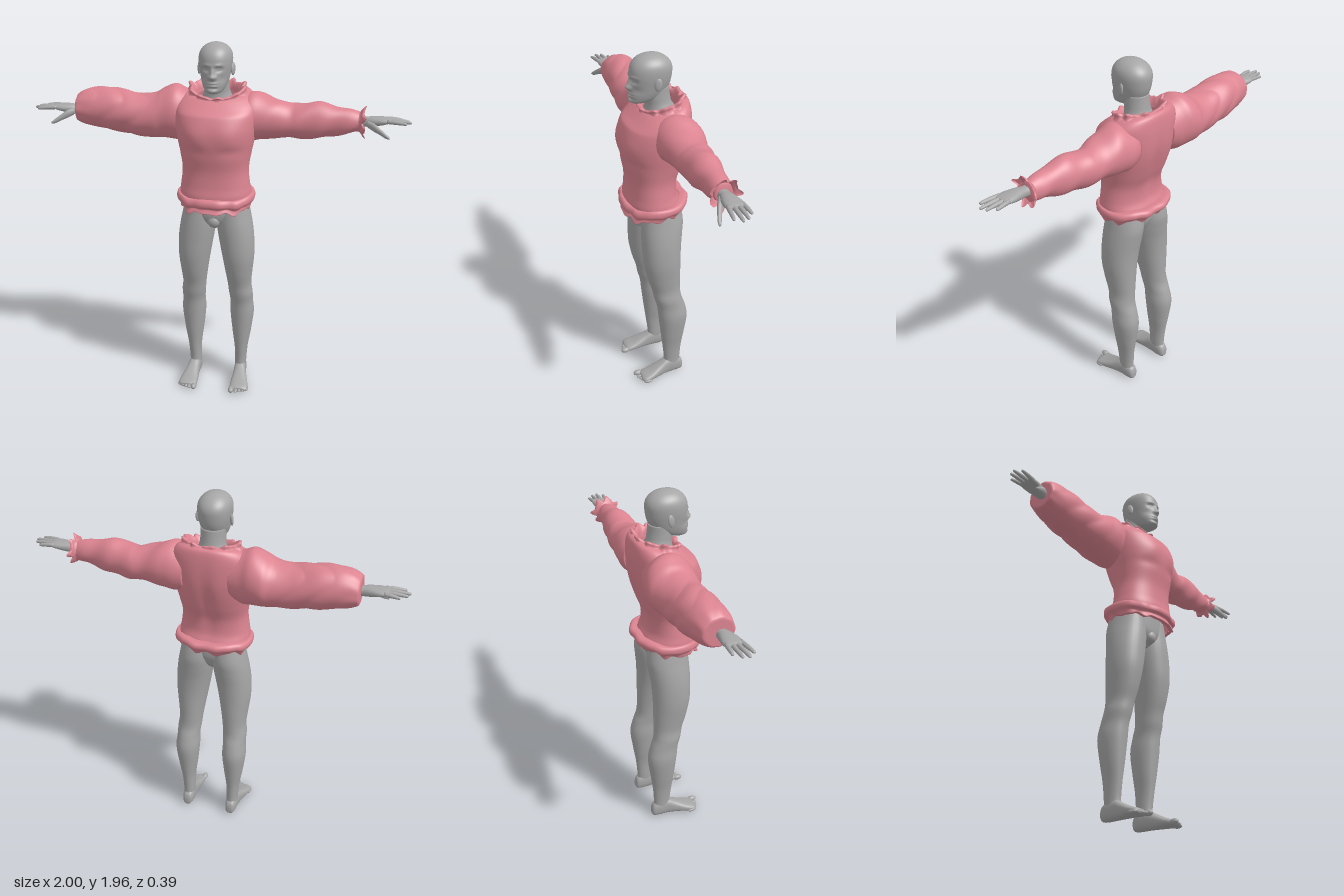
import * as THREE from 'three';

const skin = new THREE.MeshStandardMaterial({ color: 0xa6a6a6 });
skin.name = 'grey skin';
const cloth = new THREE.MeshStandardMaterial({ color: 0xdb8490, side: THREE.DoubleSide });
cloth.name = 'pink cloth';

const spline = (a, b, c, d, t) =>
  0.5 * (2 * b + (c - a) * t + (2 * a - 5 * b + 4 * c - d) * t * t + (3 * b - a - 3 * c + d) * t * t * t);
const gauss = (d, s) => Math.exp(-(d * d) / (s * s));

// Smooth skin over oval sections: row = [t, aMin, aMax, bMin, bMax], t along the axis.
// a, b are x, z for axis y; y, z for axis x; x, y for axis z. side -1 mirrors in x.
function loft(name, mat, axis, rows, { side = 1, n = 32, sub = 5, power = 2, cap = true, warp } = {}) {
  const pos = [], index = [], p = new THREE.Vector3();
  const flip = (axis !== 'y') !== (side < 0);
  const put = (t, a, b, ang) => {
    if (axis === 'y') p.set(a, t, b);
    else if (axis === 'x') p.set(t, a, b);
    else p.set(a, b, t);
    if (warp) warp(p, ang, t);
    pos.push(p.x * side, p.y, p.z);
  };
  const tri = (a, b, c) => (flip ? index.push(a, c, b) : index.push(a, b, c));
  const row = (i) => rows[Math.max(0, Math.min(rows.length - 1, i))];
  const m = (rows.length - 1) * sub;
  const mid = [];
  for (let k = 0; k <= m; k++) {
    const i = Math.min(Math.floor(k / sub), rows.length - 2), f = k / sub - i;
    const [t, a0, a1, b0, b1] = row(i).map((_, c) => spline(row(i - 1)[c], row(i)[c], row(i + 1)[c], row(i + 2)[c], f));
    mid.push([t, (a0 + a1) / 2, (b0 + b1) / 2]);
    for (let j = 0; j < n; j++) {
      const g = (j / n) * Math.PI * 2, c = Math.cos(g), s = Math.sin(g);
      const rc = Math.sign(c) * Math.abs(c) ** (2 / power), rs = Math.sign(s) * Math.abs(s) ** (2 / power);
      put(t, (a0 + a1) / 2 + rc * (a1 - a0) / 2, (b0 + b1) / 2 + rs * (b1 - b0) / 2, g);
    }
  }
  for (let k = 0; k < m; k++) for (let j = 0; j < n; j++) {
    const a = k * n + j, b = k * n + (j + 1) % n;
    tri(a, a + n, b);
    tri(b, a + n, b + n);
  }
  if (cap) for (const k of [0, m]) {
    const centre = pos.length / 3;
    put(...mid[k], 0);
    for (let j = 0; j < n; j++) {
      const a = k * n + j, b = k * n + (j + 1) % n;
      if (k) tri(centre, b, a); else tri(centre, a, b);
    }
  }
  const geo = new THREE.BufferGeometry();
  geo.setAttribute('position', new THREE.Float32BufferAttribute(pos, 3));
  geo.setIndex(index);
  geo.computeVertexNormals();
  const mesh = new THREE.Mesh(geo, mat);
  mesh.name = name;
  return mesh;
}

// Symmetric rows: [y, halfX, zMin, zMax]
const sym = (rows) => rows.map(([y, x, z0, z1]) => [y, -x, x, z0, z1]);

function ball(name, mat, [x, y, z], [rx, ry, rz]) {
  const mesh = new THREE.Mesh(new THREE.SphereGeometry(1, 20, 14), mat);
  mesh.name = name;
  mesh.position.set(x, y, z);
  mesh.scale.set(rx, ry, rz);
  return mesh;
}

function head() {
  const g = new THREE.Group();
  g.name = 'head';
  // Face relief: [x, y, depth, widthX, widthY]
  const relief = [
    [0, 1.8, 0.02, 0.014, 0.014], [0, 1.823, 0.012, 0.01, 0.022], [0.033, 1.838, -0.013, 0.018, 0.013],
    [0.032, 1.838, 0.006, 0.01, 0.006], [0.03, 1.858, 0.005, 0.025, 0.008], [0, 1.768, 0.006, 0.024, 0.006],
    [0, 1.756, 0.006, 0.02, 0.006], [0, 1.762, -0.005, 0.026, 0.003], [0, 1.743, -0.006, 0.03, 0.007],
    [0, 1.727, 0.005, 0.02, 0.009], [0.016, 1.798, 0.008, 0.008, 0.009], [0.05, 1.79, -0.006, 0.02, 0.02],
  ];
  const face = (p) => {
    if (p.z < 0.03) return;
    let d = 0;
    for (const [x, y, h, sx, sy] of relief) d += h * gauss(Math.abs(p.x) - x, sx) * gauss(p.y - y, sy);
    p.z += d * Math.min(1, (p.z - 0.03) / 0.05);
  };
  g.add(loft('skull', skin, 'y', sym([
    [1.712, 0.022, 0.07, 0.115], [1.722, 0.042, 0.02, 0.13], [1.74, 0.057, -0.03, 0.134], [1.77, 0.069, -0.06, 0.133],
    [1.81, 0.078, -0.08, 0.131], [1.85, 0.085, -0.088, 0.131], [1.89, 0.086, -0.089, 0.127], [1.92, 0.077, -0.075, 0.113],
    [1.943, 0.056, -0.048, 0.088], [1.956, 0.029, -0.016, 0.055], [1.96, 0.004, 0.012, 0.024],
  ]), { n: 96, sub: 9, power: 2.15, warp: face }));
  for (const s of [-1, 1]) {
    const ear = ball('ear', skin, [s * 0.088, 1.825, 0.012], [0.009, 0.033, 0.019]);
    ear.rotation.set(-0.15, s * -0.3, 0);
    g.add(ear);
  }
  g.add(loft('neck', skin, 'y', sym([
    [1.58, 0.18, -0.14, 0.07], [1.63, 0.14, -0.13, 0.06], [1.665, 0.088, -0.11, 0.05],
    [1.7, 0.069, -0.088, 0.048], [1.74, 0.065, -0.08, 0.055], [1.79, 0.064, -0.075, 0.05],
  ])));
  return g;
}

function leg(side) {
  const g = new THREE.Group();
  g.name = side > 0 ? 'leftLeg' : 'rightLeg';
  g.add(loft('leg', skin, 'y', [
    [0.05, 0.103, 0.165, -0.11, 0], [0.1, 0.1, 0.165, -0.105, -0.01], [0.2, 0.098, 0.173, -0.112, 0],
    [0.3, 0.085, 0.19, -0.126, 0.012], [0.42, 0.073, 0.205, -0.14, 0.025], [0.5, 0.074, 0.2, -0.125, 0.034],
    [0.56, 0.068, 0.2, -0.105, 0.05], [0.62, 0.062, 0.193, -0.1, 0.062], [0.7, 0.05, 0.2, -0.1, 0.086],
    [0.8, 0.033, 0.21, -0.1, 0.105], [0.9, 0.015, 0.208, -0.105, 0.11], [0.98, 0.003, 0.198, -0.115, 0.11],
    [1.05, 0, 0.184, -0.122, 0.106], [1.13, 0, 0.168, -0.11, 0.1],
  ], { side, power: 2.1 }));
  g.add(loft('foot', skin, 'z', [
    [-0.122, 0.122, 0.146, 0.018, 0.05], [-0.112, 0.107, 0.158, 0.004, 0.08], [-0.08, 0.1, 0.165, 0, 0.1],
    [-0.03, 0.1, 0.168, 0, 0.105], [0.02, 0.1, 0.178, 0, 0.08], [0.08, 0.096, 0.194, 0, 0.052],
    [0.125, 0.098, 0.198, 0, 0.036], [0.14, 0.11, 0.185, 0.006, 0.026],
  ], { side, power: 2.5 }));
  for (let i = 0; i < 5; i++) {
    const r = i ? 0.01 : 0.016;
    g.add(ball('toe', skin, [side * (i ? 0.115 + i * 0.0195 : 0.108), r + 0.002, 0.147 - i * 0.009], [r, r, 0.026]));
  }
  return g;
}

function hand(side) {
  const g = new THREE.Group();
  g.name = side > 0 ? 'leftHand' : 'rightHand';
  g.add(loft('palm', skin, 'x', [
    [0.68, 1.53, 1.59, -0.065, 0], [0.76, 1.542, 1.592, -0.062, -0.006], [0.8, 1.545, 1.597, -0.068, 0.004],
    [0.85, 1.556, 1.597, -0.078, 0.014], [0.885, 1.566, 1.594, -0.078, 0.012], [0.9, 1.573, 1.589, -0.07, 0.005],
  ], { side, n: 24, power: 2.3 }));
  // Four fingers fan out slightly: [rootZ, tipZ, tipX]
  for (const [z0, z1, x1] of [[0.003, 0.02, 0.975], [-0.021, -0.013, 1], [-0.045, -0.043, 0.99], [-0.067, -0.074, 0.955]]) {
    const rows = [[0, 0.011], [0.4, 0.011], [0.75, 0.009], [0.95, 0.007], [1, 0.002]].map(([f, r]) => {
      const z = z0 + (z1 - z0) * f, y = 1.581 - 0.006 * f * f;
      return [0.875 + (x1 - 0.875) * f, y - r, y + r, z - r, z + r];
    });
    g.add(loft('finger', skin, 'x', rows, { side, n: 12, sub: 3 }));
  }
  g.add(loft('thumb', skin, 'x', [
    [0.775, 1.548, 1.58, -0.02, 0.004], [0.81, 1.53, 1.572, -0.006, 0.024], [0.845, 1.516, 1.548, 0.014, 0.038],
    [0.875, 1.502, 1.526, 0.029, 0.049], [0.892, 1.5, 1.512, 0.039, 0.051],
  ], { side, n: 14, sub: 4 }));
  return g;
}

// Neckline sinks toward the front
const dip = (p, t) => { if (t > 1.6) p.y -= (t - 1.6) * (p.z + 0.02) * 2.6; };

function sweater() {
  const g = new THREE.Group();
  g.name = 'sweater';
  g.add(loft('sweaterBody', cloth, 'y', sym([
    [1.13, 0.19, -0.13, 0.162], [1.17, 0.192, -0.118, 0.163], [1.22, 0.184, -0.1, 0.156], [1.3, 0.176, -0.105, 0.156],
    [1.38, 0.187, -0.135, 0.171], [1.46, 0.203, -0.16, 0.184], [1.53, 0.214, -0.174, 0.183], [1.6, 0.218, -0.178, 0.16],
    [1.65, 0.21, -0.175, 0.122], [1.685, 0.175, -0.165, 0.09], [1.7, 0.135, -0.14, 0.07],
  ]), {
    n: 64, sub: 6, power: 2.25, cap: false,
    warp(p, a, t) {
      const ax = Math.abs(p.x);
      if (p.z > 0.05) p.z += 0.008 * gauss(ax - 0.09, 0.06) * gauss(t - 1.5, 0.06) - 0.006 * gauss(t - 1.42, 0.025) * gauss(ax - 0.1, 0.07);
      if (p.z < -0.05) p.z += 0.016 * gauss(ax, 0.035) * gauss(t - 1.42, 0.17);
      dip(p, t);
    },
  }));
  // Rolled hem with an uneven lower edge, lower at the front
  g.add(loft('hem', cloth, 'y', sym([
    [1.172, 0.19, -0.12, 0.162], [1.17, 0.203, -0.15, 0.176], [1.155, 0.21, -0.165, 0.186], [1.135, 0.208, -0.163, 0.185],
    [1.122, 0.196, -0.145, 0.17], [1.112, 0.19, -0.135, 0.172], [1.098, 0.184, -0.125, 0.178], [1.1, 0.17, -0.115, 0.155],
  ]), {
    n: 96, sub: 4, power: 2.25, cap: false,
    warp(p, a, t) {
      const low = Math.max(0, 1.14 - t) / 0.04;
      const wave = Math.sin(a * 9) + 0.7 * Math.sin(a * 14 + 1);
      p.y -= p.z * 0.08 + low * 0.006 * wave - 0.003 * Math.sin(a * 5);
      p.x *= 1 + 0.012 * wave * low;
      p.z *= 1 + 0.02 * wave;
    },
  }));
  // Ruffled collar
  g.add(loft('collar', cloth, 'y', sym([
    [1.682, 0.17, -0.165, 0.088], [1.7, 0.15, -0.15, 0.082], [1.716, 0.148, -0.145, 0.085],
    [1.718, 0.135, -0.13, 0.072], [1.695, 0.118, -0.122, 0.058], [1.67, 0.11, -0.12, 0.052],
  ]), {
    n: 96, sub: 4, cap: false,
    warp(p, a, t) {
      const up = Math.max(0, t - 1.68) / 0.035;
      const wave = Math.sin(a * 10) + 0.6 * Math.sin(a * 17 + 2);
      p.x *= 1 + 0.05 * up * wave;
      p.z *= 1 + 0.05 * up * wave;
      p.y += up * (0.005 * wave + 0.006 * Math.cos(2 * a)) - up * 0.012 * Math.max(0, -Math.sin(a));
      dip(p, t);
    },
  }));
  // Fitted left sleeve
  g.add(loft('leftSleeve', cloth, 'x', [
    [0.12, 1.45, 1.675, -0.16, 0.06], [0.18, 1.435, 1.695, -0.175, 0.072], [0.23, 1.445, 1.69, -0.172, 0.07],
    [0.3, 1.458, 1.668, -0.16, 0.054], [0.38, 1.462, 1.64, -0.15, 0.042], [0.43, 1.46, 1.646, -0.142, 0.04],
    [0.52, 1.466, 1.657, -0.13, 0.036], [0.6, 1.482, 1.645, -0.113, 0.025], [0.68, 1.5, 1.628, -0.1, 0.014],
    [0.75, 1.515, 1.612, -0.085, 0.006],
  ], { n: 40, warp(p, a, t) { p.y += 0.004 * Math.sin(t * 38 + a * 2); p.z += 0.003 * Math.sin(t * 45 + a); } }));
  g.add(loft('leftCuff', cloth, 'x', [
    [0.73, 1.518, 1.612, -0.086, 0.007], [0.742, 1.51, 1.62, -0.094, 0.014], [0.752, 1.498, 1.635, -0.108, 0.03],
    [0.764, 1.492, 1.64, -0.112, 0.034],
  ], {
    n: 72, cap: false,
    warp(p, a, t) {
      const k = (t - 0.73) / 0.034, w = Math.sin(a * 7) + 0.5 * Math.sin(a * 11 + 1);
      p.y += (p.y - 1.565) * 0.14 * k * w;
      p.z += (p.z + 0.04) * 0.14 * k * w;
      p.x += 0.006 * k * w;
    },
  }));
  // Puffed right sleeve with a shoulder cap and slanting folds
  g.add(loft('rightSleeve', cloth, 'x', [
    [0.12, 1.45, 1.68, -0.16, 0.05], [0.18, 1.42, 1.705, -0.175, 0.065], [0.23, 1.425, 1.722, -0.192, 0.07],
    [0.29, 1.43, 1.7, -0.197, 0.066], [0.34, 1.43, 1.672, -0.182, 0.068], [0.42, 1.435, 1.662, -0.172, 0.064],
    [0.5, 1.447, 1.676, -0.172, 0.058], [0.58, 1.458, 1.688, -0.17, 0.05], [0.66, 1.472, 1.688, -0.16, 0.045],
    [0.72, 1.484, 1.676, -0.145, 0.04], [0.758, 1.498, 1.655, -0.13, 0.035], [0.766, 1.508, 1.64, -0.115, 0.025],
  ], {
    side: -1, n: 72, sub: 10,
    warp(p, a, t) {
      const fold = (Math.abs(Math.sin(t * 22 + Math.sin(a * 2) * 1.6)) - 0.6) * gauss(t - 0.52, 0.16);
      const k = 1 + 0.06 * fold + 0.015 * Math.sin(a * 9 + t * 8) * gauss(t - 0.76, 0.06);
      p.y = 1.57 + (p.y - 1.57) * k;
      p.z = -0.06 + (p.z + 0.06) * k;
    },
  }));
  return g;
}

export function createModel() {
  const model = new THREE.Group();
  model.name = 'figureInSweater';
  model.add(head(), sweater());
  model.add(loft('pelvis', skin, 'y', sym([
    [0.965, 0.02, -0.03, 0.06], [0.99, 0.06, -0.06, 0.09], [1.03, 0.13, -0.085, 0.106], [1.08, 0.165, -0.1, 0.11], [1.17, 0.165, -0.1, 0.11],
  ])));
  model.add(ball('groin', skin, [0, 1.015, 0.085], [0.036, 0.036, 0.03]));
  for (const side of [-1, 1]) model.add(leg(side), hand(side));
  return model;
}
